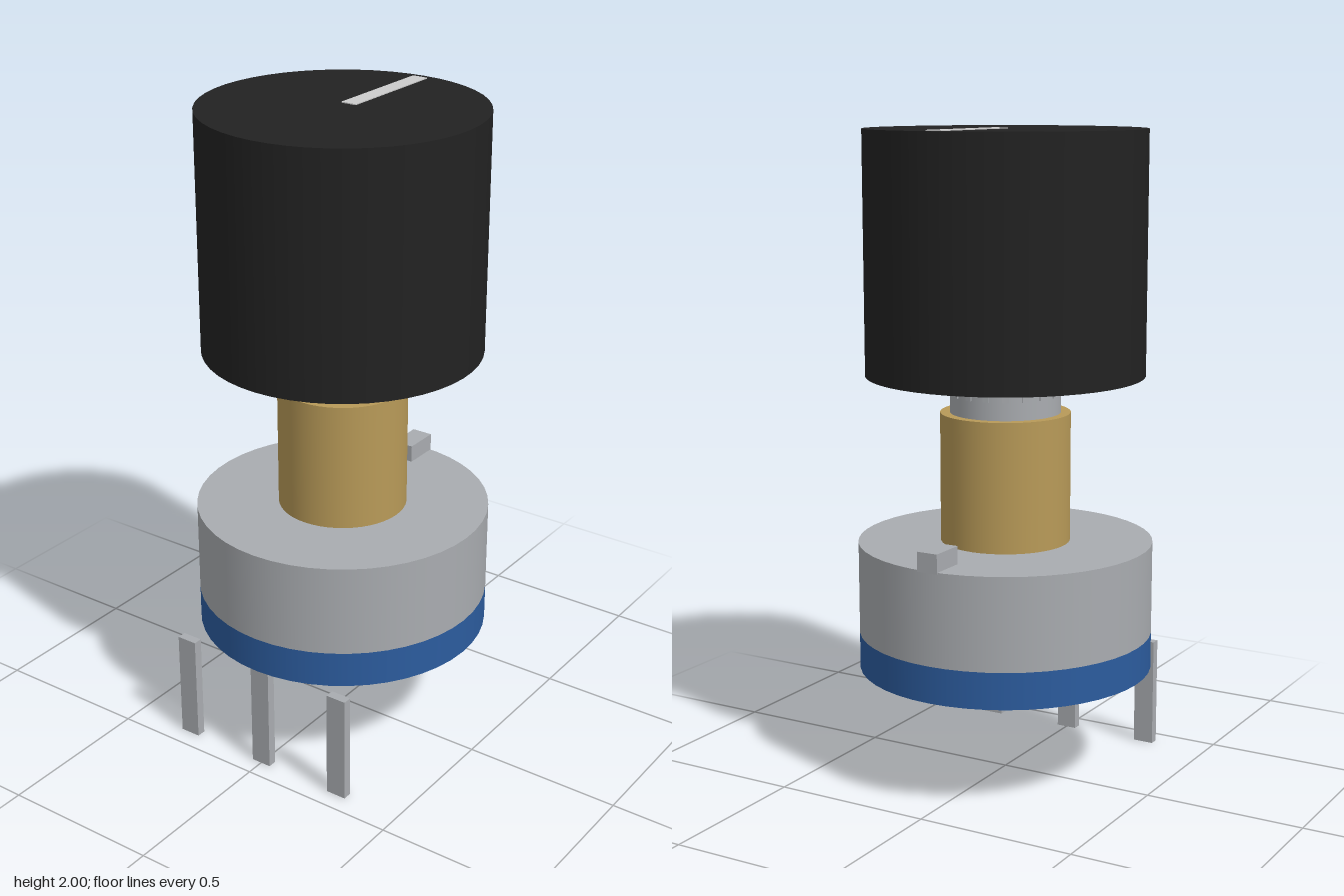
import * as THREE from 'three';

const mat = (name, color) => {
  const m = new THREE.MeshStandardMaterial({ color });
  m.name = name;
  return m;
};

export function createModel() {
  const metal = mat('metal', 0xa9acb0);
  const brass = mat('brass', 0xb89a58);
  const blue = mat('blue', 0x2c5c9e);
  const black = mat('black', 0x222222);
  const white = mat('pointer white', 0xcccccc);

  const group = new THREE.Group();
  group.name = 'rotaryPotentiometer';

  const add = (name, geometry, material, x, y, z) => {
    const mesh = new THREE.Mesh(geometry, material);
    mesh.name = name;
    mesh.position.set(x, y, z);
    group.add(mesh);
    return mesh;
  };
  // Upright disc or rod between two heights
  const rod = (name, r, y0, y1, material) =>
    add(name, new THREE.CylinderGeometry(r, r, y1 - y0, 48), material, 0, (y0 + y1) / 2, 0);
  // Box given by its extents
  const box = (name, x0, x1, y0, y1, z0, z1, material) =>
    add(name, new THREE.BoxGeometry(x1 - x0, y1 - y0, z1 - z0), material,
      (x0 + x1) / 2, (y0 + y1) / 2, (z0 + z1) / 2);

  // Stacked round body
  rod('basePlate', 0.455, 0.345, 0.458, blue);
  rod('housing', 0.455, 0.458, 0.745, metal);
  rod('bushing', 0.2, 0.745, 1.145, brass);
  rod('shaft', 0.17, 1.145, 1.3, metal);
  rod('knob', 0.427, 1.26, 1.997, black);

  // Splines round the top of the shaft
  const splineGeometry = new THREE.BoxGeometry(0.016, 0.08, 0.02);
  for (let i = 0; i < 18; i++) {
    const a = (i / 18) * Math.PI * 2;
    const spline = add('spline', splineGeometry, metal, Math.cos(a) * 0.166, 1.24, Math.sin(a) * 0.166);
    spline.rotation.y = -a;
  }

  // Pointer line on the knob, running to the back
  box('pointer', -0.025, 0.025, 1.994, 2, -0.402, -0.028, white);

  // Locating tab at the back of the housing
  box('locatingTab', -0.034, 0.034, 0.74, 0.8, -0.455, -0.34, metal);

  // Three terminal pins along the front
  for (const x of [-0.286, 0, 0.286]) {
    box('pin', x - 0.033, x + 0.033, 0, 0.345, 0.412, 0.441, metal);
  }

  return group;
}
